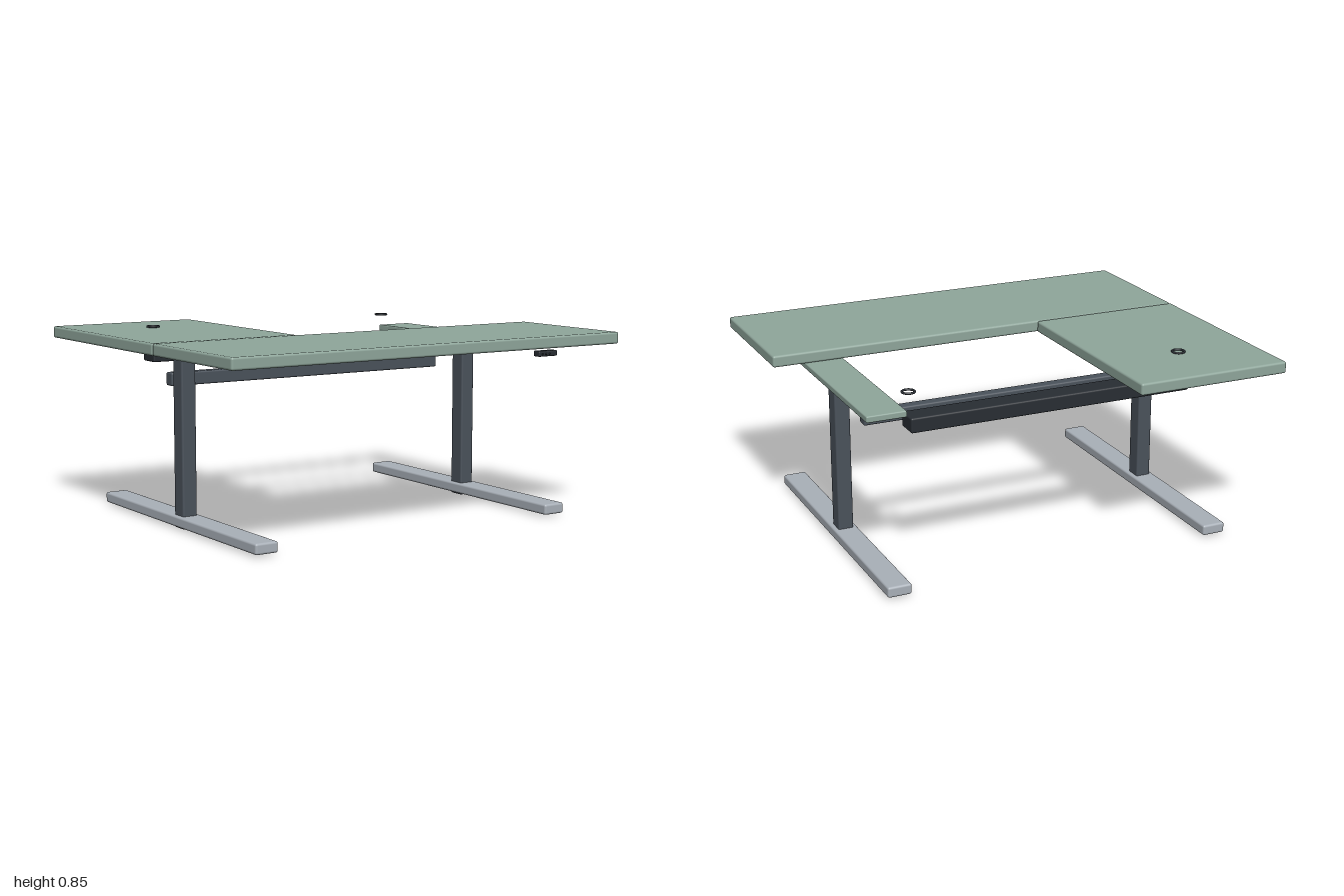
import * as THREE from 'three';
import { RoundedBoxGeometry } from 'three/addons/geometries/RoundedBoxGeometry.js';

const mat = (color) => new THREE.MeshStandardMaterial({ color });

export function createModel() {
  const desk = new THREE.Group();
  desk.name = 'standingDesk';
  const green = mat(0x8fa69b), steel = mat(0x4a525b), black = mat(0x282d33), silver = mat(0xa9b0b8);

  // Rounded box given by its extents on each axis
  function box(name, material, [x0, x1], [y0, y1], [z0, z1], radius) {
    const mesh = new THREE.Mesh(new RoundedBoxGeometry(x1 - x0, y1 - y0, z1 - z0, 3, radius), material);
    mesh.position.set((x0 + x1) / 2, (y0 + y1) / 2, (z0 + z1) / 2);
    mesh.name = name;
    desk.add(mesh);
  }

  // L-shaped top: long front panel and the return on the right
  box('frontTop', green, [-1, 1], [0.785, 0.838], [0.166, 0.83], 0.01);
  box('returnTop', green, [-1, -0.283], [0.785, 0.838], [-0.833, 0.164], 0.01);

  // Legs, feet, top supports and cable grommets, one set per side
  for (const side of [-1, 1]) {
    const label = side > 0 ? 'left' : 'right';
    const span = (centre, half) => [side * centre - half, side * centre + half];
    box(label + 'Support', green, span(0.76, 0.089), [0.755, 0.784], [-0.583, 0.583], 0.006);
    box(label + 'Column', steel, span(0.76, 0.035), [0, 0.756], [-0.04, 0.04], 0.008);
    box(label + 'Foot', silver, span(0.76, 0.054), [0.01, 0.058], [-0.69, 0.69], 0.01);

    const grommet = new THREE.Mesh(new THREE.TorusGeometry(0.027, 0.005, 10, 40), black);
    grommet.rotation.x = Math.PI / 2;
    grommet.position.set(side * 0.64, 0.842, -0.52);
    grommet.name = label + 'Grommet';
    desk.add(grommet);
  }

  // Crossbeam and cable tray
  box('crossbeam', steel, [-0.73, 0.73], [0.605, 0.665], [-0.228, -0.174], 0.008);
  box('cableTray', black, [-0.66, 0.655], [0.68, 0.746], [-0.585, -0.479], 0.008);

  // Height control with its row of buttons
  box('controlBox', black, [0.545, 0.65], [0.75, 0.775], [0.78, 0.82], 0.006);
  for (let i = 0; i < 3; i++) {
    const button = new THREE.Mesh(new THREE.SphereGeometry(0.004, 12, 8), black);
    button.position.set(0.557 + i * 0.02, 0.762, 0.829);
    button.name = 'controlButton';
    desk.add(button);
  }
  return desk;
}
